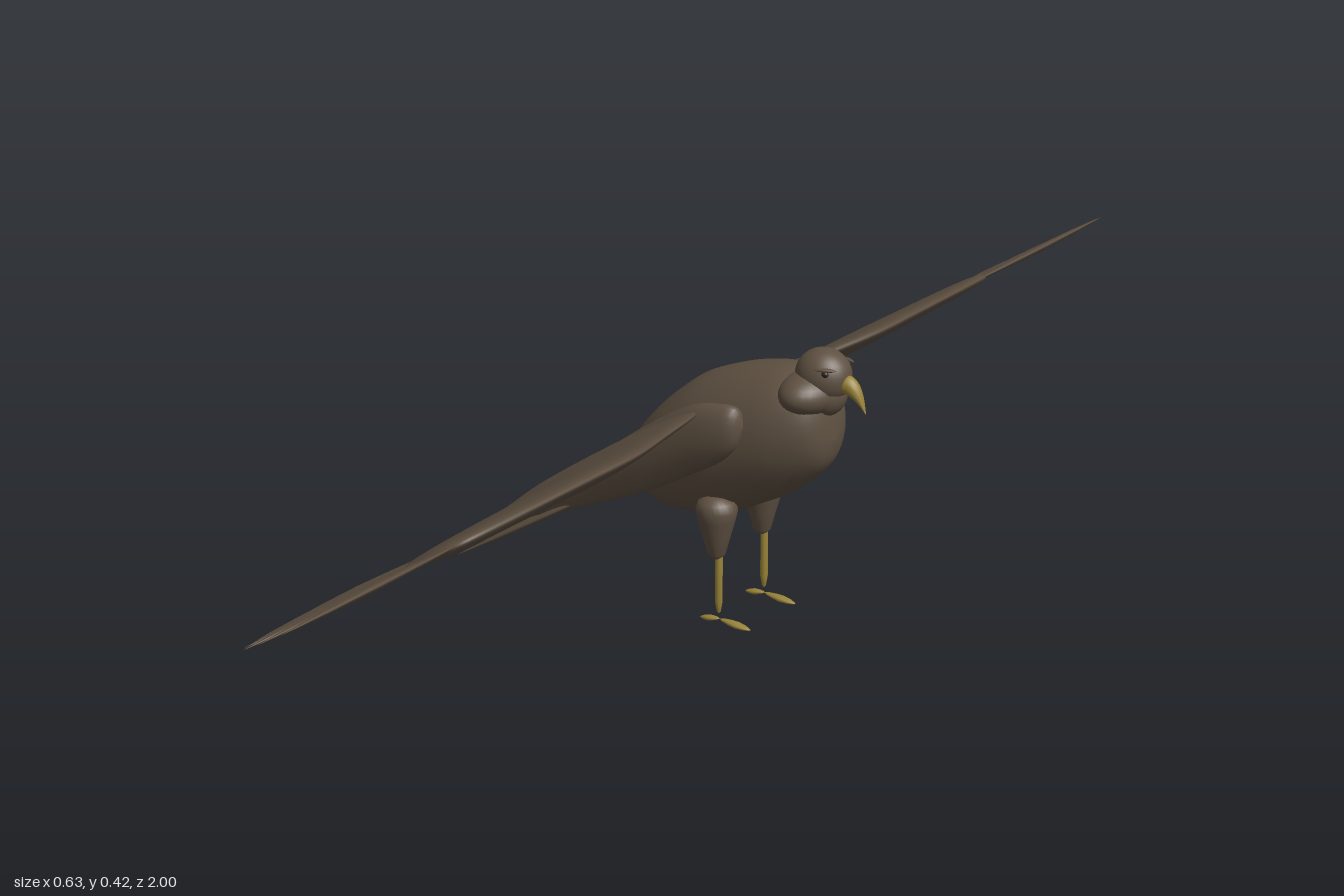
import * as THREE from 'three';

const V = (x, y, z) => new THREE.Vector3(x, y, z);
const material = (name, color) => {
  const m = new THREE.MeshStandardMaterial({ color });
  m.name = name;
  return m;
};

// Catmull-Rom blend through rows of numbers
function blend(rows, t) {
  const f = t * (rows.length - 1), i = Math.min(Math.floor(f), rows.length - 2), u = f - i;
  const r = k => rows[Math.max(0, Math.min(rows.length - 1, k))];
  return rows[i].map((b, c) => {
    const a = r(i - 1)[c], d = r(i + 1)[c], e = r(i + 2)[c];
    return b + 0.5 * u * (d - a + u * (2 * a - 5 * b + 4 * d - e + u * (3 * (b - d) + e - a)));
  });
}

// Skin closed rings made by ring(section, angle)
function loft(rows, ring, steps, sides = 28) {
  const pos = [], index = [];
  for (let i = 0; i <= steps; i++) {
    const s = blend(rows, i / steps);
    for (let j = 0; j < sides; j++) pos.push(...ring(s, (j / sides) * Math.PI * 2));
  }
  for (let i = 0; i < steps; i++) {
    for (let j = 0; j < sides; j++) {
      const a = i * sides + j, b = i * sides + (j + 1) % sides;
      index.push(a, b, a + sides, b, b + sides, a + sides);
    }
  }
  const g = new THREE.BufferGeometry();
  g.setAttribute('position', new THREE.Float32BufferAttribute(pos, 3));
  g.setIndex(index);
  g.computeVertexNormals();
  return g;
}

// Section: x, top y, bottom y, centre z, half width
const ovalRing = ([x, top, bottom, z, w], a) =>
  [x, (top + bottom) / 2 + Math.cos(a) * (top - bottom) / 2, z + Math.sin(a) * w];

// Section: z, leading x, trailing x, lift, half thickness; the chord slopes down to the rear
const SLOPE = 0.62;
const wingY = x => 0.345 + (x - 0.15) * SLOPE;
const wingRing = ([z, lead, trail, lift, thick], a) => {
  const x = (lead + trail) / 2 + Math.cos(a) * (lead - trail) / 2;
  const h = Math.sin(a) * thick * (1 + 0.4 * Math.cos(a));
  return [x - h * 0.5, wingY(x) + lift + h * 0.85, z];
};

// Flattened pointed blade from p to q
function blade(p, q, width, thick, normal) {
  const profile = [[0, 0], [0.5, 0.12], [0.85, 0.35], [1, 0.55], [0.75, 0.78], [0.35, 0.93], [0, 1]];
  const g = new THREE.LatheGeometry(profile.map(([r, y]) => new THREE.Vector2(r, y)), 12);
  const span = q.clone().sub(p), dir = span.clone().normalize();
  const side = dir.clone().cross(normal).normalize();
  const up = side.clone().cross(dir);
  const m = new THREE.Matrix4().makeBasis(side.multiplyScalar(width), span, up.multiplyScalar(thick));
  return g.applyMatrix4(m.setPosition(p));
}

function ellipsoid(c, r) {
  return new THREE.SphereGeometry(1, 28, 20).scale(...r).translate(...c);
}

function mirrored(geometry) {
  const g = geometry.clone().scale(1, 1, -1), ix = g.index;
  for (let i = 0; i < ix.count; i += 3) {
    const a = ix.getX(i);
    ix.setX(i, ix.getX(i + 1));
    ix.setX(i + 1, a);
  }
  return g;
}

export function createModel() {
  const bird = new THREE.Group();
  bird.name = 'bird';
  const plumage = material('brown plumage', 0x5f5142);
  const horn = material('dull yellow horn', 0x978238);
  const dark = material('dark eye', 0x2b241d);

  const add = (name, geometry, mat = plumage) => {
    const mesh = new THREE.Mesh(geometry, mat);
    mesh.name = name;
    bird.add(mesh);
  };
  const addPair = (name, geometry, mat) => {
    add(name + 'Near', geometry, mat);
    add(name + 'Far', mirrored(geometry), mat);
  };

  // Body
  add('body', loft([
    [-0.066, 0.215, 0.215, 0, 0], [-0.06, 0.24, 0.18, 0, 0.028], [-0.04, 0.268, 0.156, 0, 0.05],
    [0, 0.31, 0.14, 0, 0.071], [0.05, 0.35, 0.142, 0, 0.081], [0.1, 0.373, 0.152, 0, 0.085],
    [0.15, 0.388, 0.176, 0, 0.083], [0.2, 0.395, 0.204, 0, 0.075], [0.24, 0.384, 0.237, 0, 0.058],
    [0.26, 0.35, 0.264, 0, 0.035], [0.267, 0.295, 0.295, 0, 0],
  ], ovalRing, 40));

  // Shoulder coverts running back beside the tail
  addPair('flank', loft([
    [-0.272, 0.071, 0.071, 0.052, 0], [-0.2, 0.128, 0.094, 0.062, 0.009], [-0.1, 0.207, 0.138, 0.073, 0.014],
    [0, 0.282, 0.183, 0.082, 0.02], [0.08, 0.332, 0.228, 0.084, 0.023], [0.13, 0.345, 0.258, 0.083, 0.022],
    [0.157, 0.342, 0.285, 0.08, 0.016], [0.166, 0.315, 0.315, 0.077, 0],
  ], ovalRing, 32, 20));

  // Neck ruff, throat and head
  add('ruff', ellipsoid([0.231, 0.363, 0], [0.043, 0.033, 0.066]));
  add('throat', ellipsoid([0.247, 0.362, 0], [0.033, 0.034, 0.034]));
  add('head', ellipsoid([0.246, 0.387, 0], [0.041, 0.039, 0.037]));
  add('beak', loft([
    [0.277, 0.392, 0.37, 0, 0.013], [0.288, 0.394, 0.366, 0, 0.012], [0.299, 0.387, 0.36, 0, 0.01],
    [0.308, 0.372, 0.352, 0, 0.006], [0.315, 0.346, 0.344, 0, 0.001], [0.3151, 0.345, 0.345, 0, 0],
  ], ovalRing, 15, 16), horn);
  addPair('eye', ellipsoid([0.266, 0.4, 0.0285], [0.0055, 0.0045, 0.004]), dark);
  addPair('brow', blade(V(0.252, 0.405, 0.033), V(0.281, 0.406, 0.022), 0.004, 0.003, V(0, 1, 0)));

  // Wings
  addPair('wing', loft([
    [0.085, -0.03, -0.03, 0.01, 0], [0.09, 0.095, -0.165, 0.015, 0.009], [0.2, 0.125, -0.152, 0.006, 0.011],
    [0.3, 0.149, -0.125, 0, 0.012], [0.4, 0.152, -0.105, 0, 0.012], [0.48, 0.149, -0.088, 0, 0.011],
    [0.57, 0.14, -0.035, 0, 0.01], [0.635, 0.125, 0.012, 0, 0.008], [0.657, 0.1, 0.04, 0, 0.004],
    [0.66, 0.07, 0.07, 0, 0],
  ], wingRing, 54, 24));

  // Fingered primaries: base x, base z, tip x, tip z
  const wingNormal = V(-SLOPE, 1, 0).normalize();
  [
    [0.1, 0.6, 0.12, 1], [0.08, 0.6, 0.063, 0.975], [0.06, 0.59, 0.005, 0.94],
    [0.04, 0.58, -0.047, 0.88], [0.02, 0.56, -0.095, 0.8], [0.0, 0.53, -0.118, 0.71],
  ].forEach(([bx, bz, tx, tz], i) => {
    addPair('primaryFeather' + (i + 1),
      blade(V(bx, wingY(bx), bz), V(tx, wingY(tx), tz), 0.02, 0.005, wingNormal));
  });

  // Tail fan
  for (let i = -3; i <= 3; i++) {
    const k = Math.abs(i);
    add('tailFeather' + (i + 4), blade(
      V(-0.035, 0.19, i * 0.012), V(-0.275 - 0.0135 * k, 0.054 - 0.011 * k, i * 0.038),
      0.016, 0.005, V(-0.55, 0.83, 0)));
  }

  // Legs and feet
  const thigh = [[0, 0.1], [0.007, 0.101], [0.013, 0.108], [0.02, 0.135], [0.027, 0.16],
    [0.03, 0.175], [0.026, 0.188], [0.014, 0.195], [0, 0.197]].map(([r, y]) => new THREE.Vector2(r, y));
  addPair('thigh', new THREE.LatheGeometry(thigh, 24).translate(0.108, 0, 0.057));
  const shank = [[0, 0.016], [0.003, 0.02], [0.0055, 0.035], [0.0055, 0.108], [0, 0.11]]
    .map(([r, y]) => new THREE.Vector2(r, y));
  addPair('shank', new THREE.LatheGeometry(shank, 12).translate(0.112, 0, 0.057), horn);
  addPair('frontToe', blade(V(0.113, 0.009, 0.057), V(0.167, 0.004, 0.057), 0.008, 0.0045, V(0, 1, 0)), horn);
  addPair('backToe', blade(V(0.114, 0.009, 0.057), V(0.08, 0.004, 0.057), 0.007, 0.004, V(0, 1, 0)), horn);

  return bird;
}
